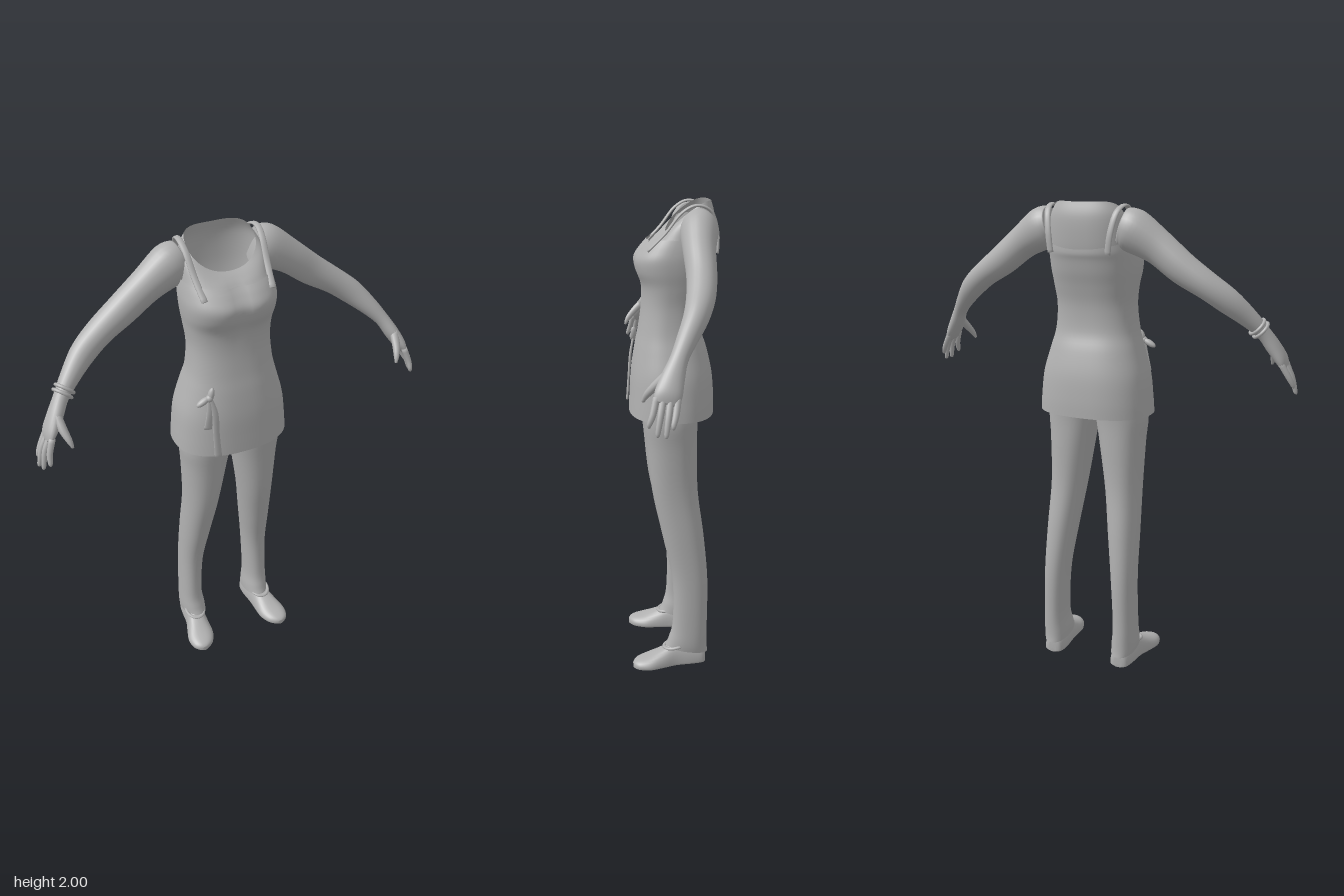
import * as THREE from 'three';

const grey = new THREE.MeshStandardMaterial({ color: 0xb0b0b0, side: THREE.DoubleSide });
grey.name = 'grey';

// Smoothly resample rows of numbers (Catmull-Rom on each column)
function smoothRows(rows, steps) {
  const out = [];
  const at = (i) => rows[Math.min(Math.max(i, 0), rows.length - 1)];
  for (let i = 0; i < rows.length - 1; i++) {
    for (let s = 0; s < steps; s++) {
      const t = s / steps;
      out.push(rows[i].map((b, k) => {
        const a = at(i - 1)[k], c = at(i + 1)[k], d = at(i + 2)[k];
        return b + 0.5 * t * (c - a + t * (2 * a - 5 * b + 4 * c - d + t * (3 * (b - c) + d - a)));
      }));
    }
  }
  out.push(rows[rows.length - 1]);
  return out;
}

// Skin closed rings of equal size, optionally closing both ends with fans
function skin(name, rings, capped) {
  const n = rings[0].length, pos = [], idx = [];
  rings.forEach((r) => r.forEach((p) => pos.push(p.x, p.y, p.z)));
  for (let i = 0; i < rings.length - 1; i++) {
    for (let j = 0; j < n; j++) {
      const a = i * n + j, b = i * n + (j + 1) % n;
      idx.push(a, a + n, b, b, a + n, b + n);
    }
  }
  for (const i of capped ? [0, rings.length - 1] : []) {
    const c = new THREE.Vector3();
    rings[i].forEach((p) => c.addScaledVector(p, 1 / n));
    const k = pos.length / 3;
    pos.push(c.x, c.y, c.z);
    for (let j = 0; j < n; j++) {
      const a = i * n + j, b = i * n + (j + 1) % n;
      if (i === 0) idx.push(k, a, b); else idx.push(k, b, a);
    }
  }
  const g = new THREE.BufferGeometry();
  g.setAttribute('position', new THREE.Float32BufferAttribute(pos, 3));
  g.setIndex(idx);
  g.computeVertexNormals();
  const m = new THREE.Mesh(g, grey);
  m.name = name;
  return m;
}

const spow = (v, e) => Math.sign(v) * Math.pow(Math.abs(v), e);

// Upright form. Row: [yFront, yBack, xCentre, halfWidth, zFront, zBack, sideLift, cleft]; the last two may be left out
function upright(name, rows, power = 2.4, side = 1, segs = 48) {
  const full = rows.map((r) => Array.from({ length: 8 }, (_, k) => r[k] ?? 0));
  const rings = smoothRows(full, 5).map(([yf, yb, cx, hw, zf, zb, lift, cleft]) => {
    const ring = [];
    for (let j = 0; j < segs; j++) {
      const a = side * (j / segs) * Math.PI * 2;
      const c = spow(Math.cos(a), 2 / power), s = spow(Math.sin(a), 2 / power);
      const x = hw * c;
      let z = (zf + zb) / 2 + s * (zf - zb) / 2;
      if (s > 0) z -= cleft * Math.exp(-((x / 0.035) ** 2));
      const y = (yf + yb) / 2 + s * (yf - yb) / 2 + lift * c * c;
      ring.push(new THREE.Vector3(side * (cx + x), y, z));
    }
    return ring;
  });
  return skin(name, rings, false);
}

const X = new THREE.Vector3(1, 0, 0), Z = new THREE.Vector3(0, 0, 1);

// Limb along a path. Row: [x, y, z, radiusAcross, radiusTowardsRef]
function limb(name, rows, side = 1, segs = 20, steps = 5, ref = Z) {
  const pts = smoothRows(rows, steps);
  const v = pts.map((p) => new THREE.Vector3(p[0], p[1], p[2]));
  const rings = pts.map((p, i) => {
    const t = v[Math.min(i + 1, v.length - 1)].clone().sub(v[Math.max(i - 1, 0)]).normalize();
    const u = ref.clone().addScaledVector(t, -t.dot(ref)).normalize();
    const w = t.clone().cross(u);
    return Array.from({ length: segs }, (_, j) => {
      const a = side * (j / segs) * Math.PI * 2;
      const q = v[i].clone().addScaledVector(w, p[3] * Math.cos(a)).addScaledVector(u, p[4] * Math.sin(a));
      q.x *= side;
      return q;
    });
  });
  return skin(name, rings, true);
}

// Flat-soled shoe along z. Row: [z, xCentre, halfWidth, height]
function shoe(side) {
  const rows = [
    [-0.142, 0.163, 0.018, 0.05], [-0.13, 0.163, 0.04, 0.075], [-0.08, 0.165, 0.048, 0.095],
    [-0.01, 0.172, 0.048, 0.1], [0.05, 0.182, 0.057, 0.075], [0.105, 0.191, 0.063, 0.052],
    [0.15, 0.197, 0.05, 0.04], [0.172, 0.2, 0.03, 0.031], [0.181, 0.201, 0.01, 0.022],
  ];
  const rings = smoothRows(rows, 4).map(([z, cx, hw, h]) => Array.from({ length: 28 }, (_, j) => {
    const a = -side * (j / 28) * Math.PI * 2, s = Math.sin(a);
    const y = s > 0 ? 0.014 + (h - 0.014) * s : 0.014 * (1 + spow(s, 0.4));
    return new THREE.Vector3(side * (cx + hw * spow(Math.cos(a), 0.8)), y, z);
  }));
  return skin('shoe', rings, true);
}

export function createModel() {
  const model = new THREE.Group();
  model.name = 'figure';

  // Tunic, open at the hem and neckline
  model.add(upright('tunic', [
    [1.13, 1.13, 0, 0.245, 0.176, -0.18], [1.2, 1.2, 0, 0.24, 0.172, -0.18],
    [1.3, 1.3, 0, 0.228, 0.165, -0.172], [1.4, 1.4, 0, 0.2, 0.15, -0.15],
    [1.48, 1.48, 0, 0.179, 0.134, -0.126], [1.58, 1.58, 0, 0.17, 0.12, -0.125],
    [1.66, 1.66, 0, 0.178, 0.122, -0.142, 0, 0.004], [1.72, 1.72, 0, 0.187, 0.146, -0.16, 0, 0.012],
    [1.77, 1.77, 0, 0.19, 0.152, -0.172, 0, 0.016], [1.81, 1.795, 0, 0.187, 0.127, -0.18, 0.01, 0.018],
    [1.838, 1.815, 0, 0.181, 0.1, -0.181, 0.025, 0.018],
  ]));

  // Bare chest and upper back, open at the neck
  model.add(upright('upperBody', [
    [1.66, 1.66, 0, 0.165, 0.11, -0.132], [1.78, 1.78, 0, 0.18, 0.125, -0.165, 0, 0.018],
    [1.83, 1.86, 0, 0.175, 0.083, -0.176, 0.01, 0.014], [1.855, 1.94, 0, 0.165, 0.047, -0.177, 0.03, 0.004],
    [1.872, 1.997, 0, 0.14, 0.018, -0.163, 0.03],
  ]));

  for (const side of [1, -1]) {
    // Flat shoulder straps, front to back
    model.add(limb('strap', [
      [0.14, 1.81, 0.1, 0.006, 0.013], [0.15, 1.88, 0.03, 0.006, 0.013], [0.157, 1.955, -0.03, 0.006, 0.013],
      [0.16, 1.985, -0.09, 0.006, 0.013], [0.15, 1.96, -0.15, 0.006, 0.013], [0.135, 1.88, -0.177, 0.006, 0.013],
      [0.125, 1.8, -0.178, 0.006, 0.013],
    ], side, 10, 5, X));

    // Arm from shoulder to wrist, then the palm
    model.add(limb('arm', [
      [0.155, 1.905, -0.1, 0.072, 0.062], [0.2, 1.888, -0.095, 0.086, 0.074], [0.3, 1.828, -0.085, 0.069, 0.063],
      [0.4, 1.752, -0.082, 0.063, 0.058], [0.5, 1.687, -0.068, 0.054, 0.054], [0.58, 1.628, -0.042, 0.05, 0.047],
      [0.65, 1.563, -0.002, 0.038, 0.038], [0.7, 1.507, 0.03, 0.029, 0.033], [0.737, 1.45, 0.055, 0.029, 0.042],
      [0.768, 1.4, 0.073, 0.024, 0.049], [0.783, 1.367, 0.083, 0.012, 0.044],
    ], side, 24));

    // Fingers: [base z, tip x, tip y, tip z]
    const fingers = [[0.04, 0.822, 1.288, 0.06], [0.065, 0.827, 1.26, 0.085],
      [0.091, 0.818, 1.262, 0.114], [0.115, 0.797, 1.288, 0.142]];
    for (const [z, x, y, tz] of fingers) {
      model.add(limb('finger', [
        [0.772, 1.39, z, 0.013, 0.013], [(0.787 + x) / 2, 1.335, (z + tz) / 2, 0.012, 0.012],
        [x, y + 0.012, tz, 0.009, 0.009], [x + 0.001, y, tz, 0.003, 0.003],
      ], side, 10, 3));
    }
    model.add(limb('thumb', [
      [0.735, 1.46, 0.075, 0.018, 0.018], [0.728, 1.42, 0.115, 0.017, 0.016],
      [0.716, 1.385, 0.145, 0.012, 0.012], [0.708, 1.358, 0.158, 0.005, 0.005],
    ], side, 10, 3));

    // Trouser leg with a slanted, loose hem
    model.add(upright('trouserLeg', [
      [0.085, 0.05, 0.165, 0.054, 0.034, -0.152], [0.12, 0.09, 0.167, 0.055, 0.02, -0.148],
      [0.2, 0.19, 0.17, 0.05, 0.003, -0.148], [0.4, 0.4, 0.162, 0.053, 0.004, -0.149],
      [0.6, 0.6, 0.147, 0.064, 0.045, -0.132], [0.8, 0.8, 0.13, 0.076, 0.087, -0.107],
      [1, 1, 0.117, 0.096, 0.108, -0.104], [1.12, 1.12, 0.111, 0.11, 0.12, -0.106],
      [1.25, 1.25, 0.1, 0.1, 0.12, -0.12],
    ], 2.2, side, 32));

    // Shoe with a collar at the instep
    model.add(shoe(side));
    const collar = new THREE.Mesh(new THREE.TorusGeometry(0.042, 0.007, 8, 28), grey);
    collar.name = 'shoeCollar';
    collar.scale.set(1, 1.25, 1);
    collar.rotation.x = -Math.PI / 2 + 0.2;
    collar.position.set(side * 0.173, 0.088, -0.01);
    model.add(collar);
  }

  // Two bangles on the right wrist
  const along = new THREE.Vector3(-0.62, -0.68, 0.39).normalize();
  for (const d of [-0.009, 0.011]) {
    const bangle = new THREE.Mesh(new THREE.TorusGeometry(0.037, 0.007, 8, 32), grey);
    bangle.name = 'bangle';
    bangle.position.set(-0.685, 1.524, 0.02).addScaledVector(along, d);
    bangle.quaternion.setFromUnitVectors(Z, along);
    model.add(bangle);
  }

  // Bow on the right hip: knot, two loops and two tails
  const knot = new THREE.Mesh(new THREE.SphereGeometry(0.015, 14, 10), grey);
  knot.name = 'bowKnot';
  knot.position.set(-0.148, 1.415, 0.148);
  model.add(knot);
  for (const [x, y, tilt] of [[-0.174, 1.404, 0.5], [-0.14, 1.428, 1.35]]) {
    const loop = new THREE.Mesh(new THREE.SphereGeometry(1, 16, 10), grey);
    loop.name = 'bowLoop';
    loop.scale.set(0.032, 0.013, 0.014);
    loop.rotation.z = tilt;
    loop.position.set(x, y, 0.146);
    model.add(loop);
  }
  model.add(limb('longTail', [
    [-0.146, 1.415, 0.146, 0.009, 0.005], [-0.13, 1.34, 0.162, 0.014, 0.005],
    [-0.128, 1.24, 0.17, 0.014, 0.005], [-0.124, 1.14, 0.178, 0.016, 0.005],
  ], 1, 10));
  model.add(limb('shortTail', [
    [-0.148, 1.415, 0.146, 0.009, 0.005], [-0.15, 1.35, 0.158, 0.015, 0.005], [-0.162, 1.28, 0.162, 0.017, 0.005],
  ], 1, 10));

  return model;
}
